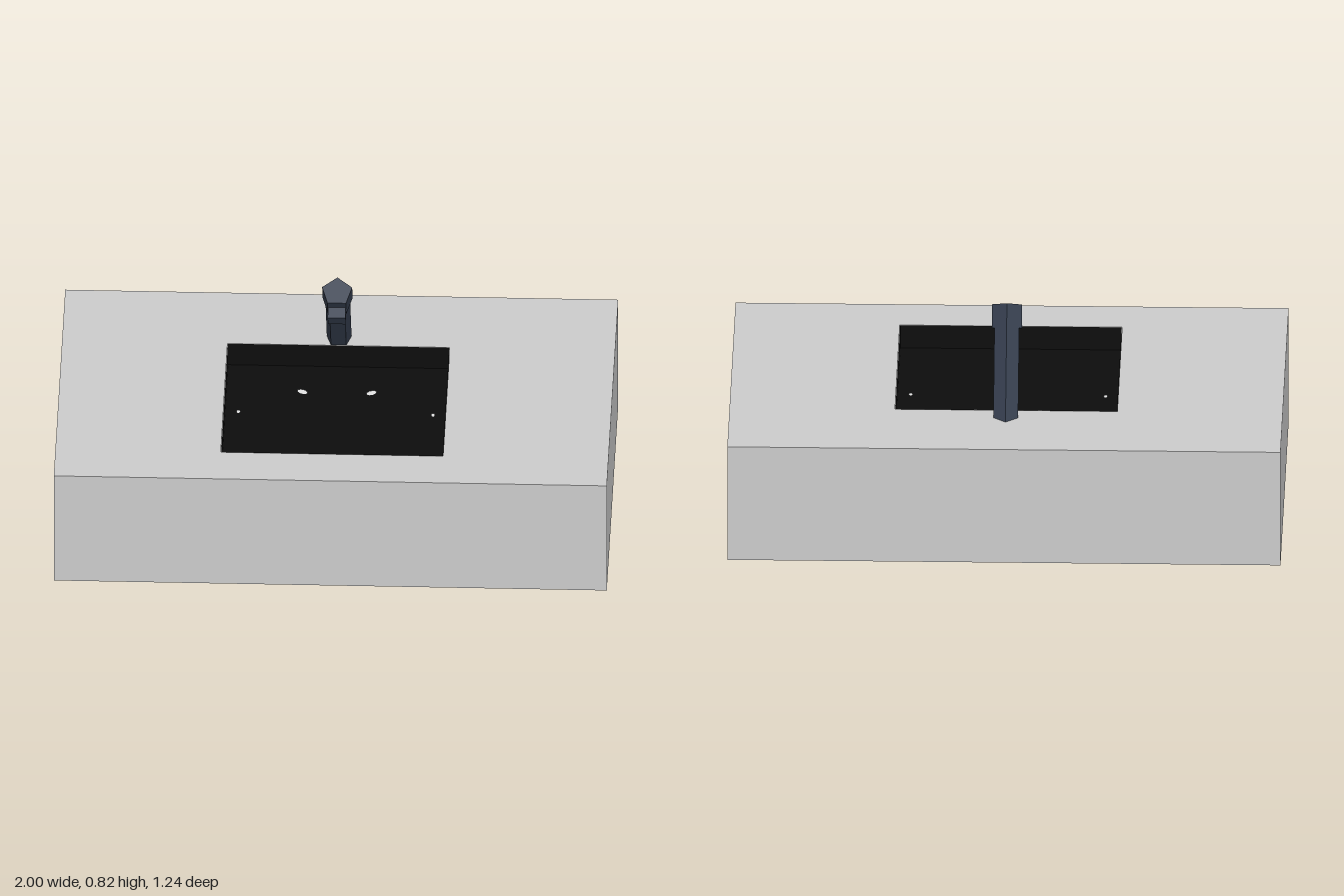
import * as THREE from 'three';

const TOP = 0.45, FLOOR = 0.36;
const mat = (name, color, extra = {}) => {
  const m = new THREE.MeshStandardMaterial({ color, ...extra });
  m.name = name;
  return m;
};

export function createModel() {
  const model = new THREE.Group();
  const stone = mat('counter grey', 0xcccccc);
  const black = mat('basin black', 0x0d0d0d, { side: THREE.DoubleSide });
  const metal = mat('tap slate', 0x353e4e, { flatShading: true });
  const pale = mat('pale fleck', 0xe4e4e4, { side: THREE.DoubleSide });

  const add = (name, geometry, material, parent = model) => {
    const mesh = new THREE.Mesh(geometry, material);
    mesh.name = name;
    parent.add(mesh);
    return mesh;
  };

  // Counter: a solid slab below, and a rim with the basin opening above
  add('counterBase', new THREE.BoxGeometry(2, FLOOR - 0.002, 1.24), stone).position.y = (FLOOR - 0.002) / 2;
  const rect = (target, x, z0, z1) => {
    // shape y is -z once laid flat
    target.moveTo(-x, -z1).lineTo(x, -z1).lineTo(x, -z0).lineTo(-x, -z0).closePath();
    return target;
  };
  const rim = rect(new THREE.Shape(), 1, -0.62, 0.62);
  rim.holes.push(rect(new THREE.Path(), 0.402, -0.282, 0.442));
  const rimGeo = new THREE.ExtrudeGeometry(rim, { depth: TOP - FLOOR + 0.002, bevelEnabled: false });
  rimGeo.rotateX(-Math.PI / 2);
  add('counterRim', rimGeo, stone).position.y = FLOOR - 0.002;

  // Basin liner: an open box without its top
  const liner = new THREE.BoxGeometry(0.8, TOP - FLOOR, 0.72);
  liner.setIndex(Array.from(liner.index.array).filter((_, i) => i < 12 || i > 17));
  liner.clearGroups();
  add('basin', liner, black).position.set(0, (TOP + FLOOR) / 2, 0.08);

  // Small pale flecks on the basin floor, mirrored
  for (const s of [-1, 1]) {
    const inner = add('innerFleck', new THREE.CircleGeometry(0.018, 8), pale);
    inner.rotation.set(-Math.PI / 2, 0, s * 0.6);
    inner.scale.set(1.2, 0.8, 1);
    inner.position.set(s * 0.125, FLOOR + 0.003, -0.105);
    const outer = add('outerFleck', new THREE.CircleGeometry(0.013, 6), pale);
    outer.rotation.x = -Math.PI / 2;
    outer.scale.x = 0.6;
    outer.position.set(s * 0.352, FLOOR + 0.003, 0.035);
  }

  // Leaning tap: five-sided shaft and head, each with one corner to the back
  const tap = new THREE.Group();
  tap.name = 'tap';
  tap.position.set(0, TOP, -0.329);
  tap.rotation.x = 0.541;
  model.add(tap);
  const prism = (name, r, y0, y1, z) => {
    const g = new THREE.CylinderGeometry(r, r, y1 - y0, 5);
    g.rotateY(Math.PI);
    add(name, g, metal, tap).position.set(0, (y0 + y1) / 2, z);
  };
  prism('tapShaft', 0.047, -0.04, 0.33, 0);
  prism('tapHead', 0.057, 0.318, 0.404, 0.01);
  add('tapSpout', new THREE.BoxGeometry(0.064, 0.051, 0.08), metal, tap).position.set(0, 0.3425, 0.058);

  return model;
}
